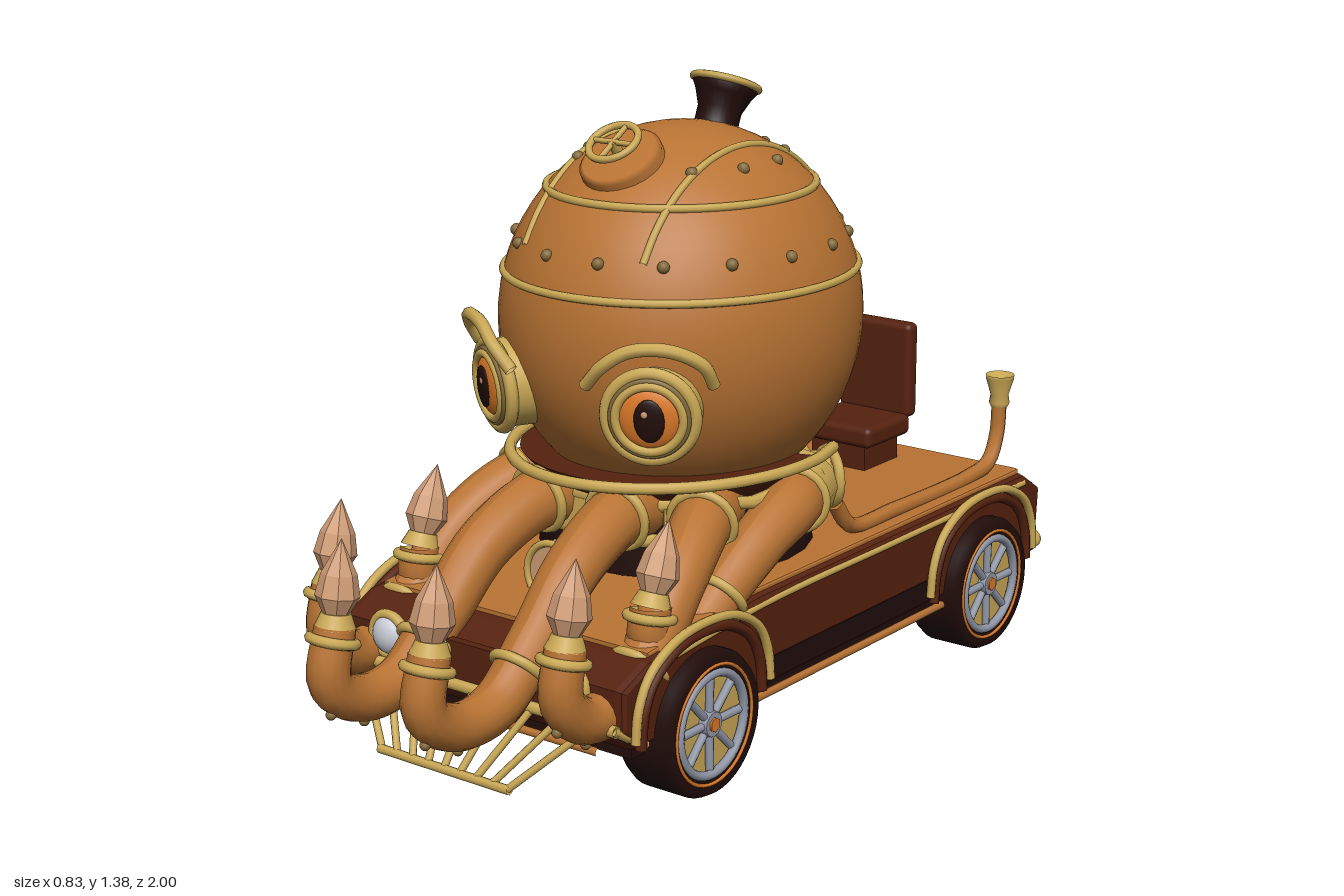
import * as THREE from 'three';
import { RoundedBoxGeometry } from 'three/addons/geometries/RoundedBoxGeometry.js';

const V = (x, y, z) => new THREE.Vector3(x, y, z);
const material = (name, color, side = THREE.FrontSide) => Object.assign(new THREE.MeshStandardMaterial({ color, side }), { name });
const PI = Math.PI;

export function createModel() {
  const copper = material('copper', 0xb87333), brass = material('brass', 0xcaa855, THREE.DoubleSide);
  const brown = material('dark brown', 0x56220f), dark = material('black brown', 0x210d0a, THREE.DoubleSide);
  const orange = material('orange glow', 0xdd7a28), peach = material('pale copper', 0xcf9c76);
  const steel = material('steel', 0x9298a8), lamp = material('lamp glass', 0xc9ccd6);
  const bronze = material('bronze', 0x82693a);
  peach.flatShading = true;

  const model = new THREE.Group();
  const group = (name, parent = model) => {
    const g = new THREE.Group();
    g.name = name;
    parent.add(g);
    return g;
  };
  const add = (parent, name, geo, mat, pos = [0, 0, 0], rot = [0, 0, 0]) => {
    const m = new THREE.Mesh(geo, mat);
    m.name = name;
    m.position.set(...pos);
    m.rotation.set(...rot);
    parent.add(m);
    return m;
  };
  const pipe = (parent, name, pts, r, mat, closed = false, seg = 40) => {
    const curve = new THREE.CatmullRomCurve3(pts.map(p => V(...p)), closed);
    return add(parent, name, new THREE.TubeGeometry(curve, seg, r, 8, closed), mat);
  };
  const bar = (parent, name, a, b, r, mat) =>
    add(parent, name, new THREE.TubeGeometry(new THREE.LineCurve3(V(...a), V(...b)), 1, r, 8), mat);
  const cyl = (r1, r2, h, n = 32) => new THREE.CylinderGeometry(r1, r2, h, n);
  const ball = r => new THREE.SphereGeometry(r, 16, 10);
  const lathe = (pts, n = 28) => new THREE.LatheGeometry(pts.map(p => new THREE.Vector2(...p)), n);

  // Car body: side profiles extruded across the width, hood sloping to the front
  const car = group('car');
  const slab = (pts, width, bevel) => {
    const shape = new THREE.Shape(pts.map(p => new THREE.Vector2(...p)));
    const g = new THREE.ExtrudeGeometry(shape, { depth: width - 2 * bevel, bevelSize: bevel * 0.6, bevelThickness: bevel, bevelSegments: 2 });
    return g.rotateY(-PI / 2).translate(width / 2 - bevel, 0, 0);
  };
  add(car, 'body', slab([[0.61, 0.17], [0.645, 0.21], [0.645, 0.285], [0.57, 0.318], [0.2, 0.35], [-0.86, 0.352], [-0.925, 0.31], [-0.915, 0.17]], 0.75, 0.02), brown);
  add(car, 'underside', new THREE.BoxGeometry(0.7, 0.04, 1.5), dark, [0, 0.15, -0.15]);
  add(car, 'deck', slab([[0.55, 0.322], [0.55, 0.336], [0.2, 0.368], [-0.86, 0.37], [-0.86, 0.355], [0.2, 0.355]].reverse(), 0.71, 0.008), copper);
  add(car, 'frontGrille', new THREE.BoxGeometry(0.18, 0.085, 0.02), brown, [0, 0.265, 0.66]);
  for (const s of [-1, 1]) {
    add(car, 'sidePanel', new THREE.BoxGeometry(0.006, 0.05, 0.64), dark, [s * 0.375, 0.195, -0.13]);
    bar(car, 'runningRail', [s * 0.37, 0.14, 0.42], [s * 0.37, 0.14, -0.62], 0.009, copper);
    pipe(car, 'sideTrim', [[s * 0.372, 0.315, 0.56], [s * 0.372, 0.342, 0.2], [s * 0.372, 0.345, -0.3], [s * 0.372, 0.345, -0.86]], 0.008, brass);
    // Horn pipes running along the deck
    pipe(car, 'hornPipe', [[s * 0.31, 0.46, -0.16], [s * 0.31, 0.395, -0.22], [s * 0.31, 0.385, -0.4], [s * 0.31, 0.385, -0.72], [s * 0.31, 0.4, -0.8], [s * 0.31, 0.46, -0.835], [s * 0.31, 0.55, -0.842]], 0.018, copper);
    add(car, 'horn', lathe([[0.019, 0], [0.024, 0.01], [0.021, 0.03], [0.033, 0.07], [0.033, 0.078], [0, 0.06]]), brass, [s * 0.31, 0.525, -0.842]);
    // Lamps
    add(car, 'headlightRim', new THREE.TorusGeometry(0.044, 0.011, 8, 28), brass, [s * 0.24, 0.276, 0.66]);
    add(car, 'headlight', ball(0.042), lamp, [s * 0.24, 0.276, 0.658]).scale.z = 0.7;
    add(car, 'tailLampRim', new THREE.TorusGeometry(0.034, 0.008, 8, 24), brass, [s * 0.25, 0.265, -0.94]);
    add(car, 'tailLamp', ball(0.033), orange, [s * 0.25, 0.265, -0.932]).scale.z = 0.5;
  }
  bar(car, 'rearTrim', [-0.35, 0.318, -0.936], [0.35, 0.318, -0.936], 0.006, brass);
  pipe(car, 'rearBumper', [[-0.38, 0.185, -0.88], [-0.37, 0.185, -0.935], [-0.31, 0.185, -0.98], [0, 0.185, -0.988], [0.31, 0.185, -0.98], [0.37, 0.185, -0.935], [0.38, 0.185, -0.88]], 0.012, brass);
  for (const s of [-1, 1]) bar(car, 'bumperPost', [s * 0.2, 0.185, -0.98], [s * 0.2, 0.2, -0.9], 0.008, brass);

  // Wheels and fender arches
  for (const s of [-1, 1]) for (const z of [0.405, -0.665]) {
    const w = group('wheel', car);
    w.position.set(s * 0.345, 0.155, z);
    w.rotation.y = s * PI / 2;
    add(w, 'tire', lathe([[0.11, -0.06], [0.145, -0.068], [0.155, -0.05], [0.155, 0.05], [0.145, 0.068], [0.11, 0.06]], 40).rotateX(PI / 2), dark);
    add(w, 'tireLine', new THREE.TorusGeometry(0.126, 0.004, 6, 40), orange, [0, 0, 0.064]);
    add(w, 'rim', new THREE.TorusGeometry(0.108, 0.01, 8, 40), steel, [0, 0, 0.058]);
    add(w, 'disc', cyl(0.112, 0.112, 0.09).rotateX(PI / 2), brass);
    for (let i = 0; i < 8; i++) {
      const a = i * PI / 4;
      bar(w, 'spoke', [0, 0, 0.05], [Math.cos(a) * 0.108, Math.sin(a) * 0.108, 0.052], 0.009, steel);
    }
    add(w, 'hub', cyl(0.026, 0.03, 0.02, 20).rotateX(PI / 2), steel, [0, 0, 0.053]);
    add(w, 'hubCap', cyl(0.016, 0.016, 0.01, 6).rotateX(PI / 2), orange, [0, 0, 0.062]);
    const arch = [[-0.225, 0.18], [-0.215, 0.25], [-0.18, 0.31], [-0.1, 0.355], [0, 0.368], [0.1, 0.355], [0.18, 0.31], [0.215, 0.25], [0.225, 0.18]];
    pipe(car, 'fenderArch', arch.map(p => [s * 0.385, p[1], z + p[0]]), 0.01, brass);
    pipe(car, 'fenderEdge', arch.map(p => [s * 0.38, p[1] - 0.02, z + p[0] * 0.9]), 0.012, brown);
  }

  // Cow catcher
  const guard = group('cowCatcher');
  bar(guard, 'topBar', [-0.37, 0.215, 0.67], [0.37, 0.215, 0.67], 0.013, brass);
  bar(guard, 'bottomBar', [-0.175, 0.075, 0.765], [0.175, 0.075, 0.765], 0.01, brass);
  for (let i = -4; i <= 4; i++) bar(guard, 'slat', [i * 0.078, 0.215, 0.67], [i * 0.042, 0.075, 0.765], 0.008, brass);
  for (const s of [-1, 1]) bar(guard, 'bracket', [s * 0.36, 0.215, 0.67], [s * 0.37, 0.16, 0.58], 0.01, brass);
  bar(guard, 'copperBar', [-0.29, 0.14, 0.63], [0.29, 0.14, 0.63], 0.009, copper);

  // Driver seat and steering wheel
  const seat = group('seat');
  add(seat, 'seatBase', new THREE.BoxGeometry(0.15, 0.07, 0.14), brown, [0, 0.405, -0.7]);
  add(seat, 'cushion', new RoundedBoxGeometry(0.2, 0.05, 0.18, 3, 0.015), brown, [0, 0.458, -0.7]);
  add(seat, 'backrest', new RoundedBoxGeometry(0.2, 0.23, 0.042, 3, 0.015), brown, [0, 0.587, -0.797]);
  const steer = group('steering');
  bar(steer, 'column', [0, 0.46, -0.36], [0, 0.643, -0.485], 0.012, dark);
  add(steer, 'steeringWheel', new THREE.TorusGeometry(0.06, 0.009, 8, 32), dark, [0, 0.643, -0.487]);
  for (let i = 0; i < 2; i++) add(steer, 'spoke', cyl(0.006, 0.006, 0.12, 8), dark, [0, 0.643, -0.487], [0, 0, i * PI / 2]);
  add(steer, 'steeringHub', ball(0.016), brass, [0, 0.643, -0.487]);

  // Dome
  const head = group('head');
  const C = V(0, 0.87, -0.02), R = V(0.38, 0.41, 0.412);
  const onDome = (y, a) => {
    const k = Math.sqrt(1 - ((y - C.y) / R.y) ** 2);
    return [R.x * k * Math.sin(a), y, C.z + R.z * k * Math.cos(a)];
  };
  add(head, 'dome', new THREE.SphereGeometry(1, 56, 36), copper, C.toArray()).scale.copy(R);
  for (const y of [0.975, 1.15]) {
    const pts = Array.from({ length: 24 }, (_, i) => onDome(y, i * PI / 12));
    pipe(head, 'domeBand', pts, 0.009, brass, true, 72);
  }
  for (const s of [-1, 1]) {
    const k = Math.sqrt(1 - (0.155 / R.x) ** 2);
    const pts = Array.from({ length: 14 }, (_, i) => {
      const a = 0.5 + i * 2.48 / 13;
      return [s * 0.155, C.y + R.y * k * Math.sin(a), C.z + R.z * k * Math.cos(a)];
    });
    pipe(head, 'domeRib', pts, 0.008, brass);
  }
  for (const [y, n] of [[1.045, 16], [1.21, 12]])
    for (let i = 0; i < n; i++) add(head, 'rivet', ball(0.013), bronze, onDome(y, (i + 0.5) * 2 * PI / n));

  // Hatch with hand wheel
  const hatch = group('hatch', head);
  hatch.position.set(0, 1.22, 0.18);
  hatch.rotation.x = 0.57;
  add(hatch, 'hatchLid', lathe([[0.09, -0.04], [0.09, 0.014], [0.08, 0.022], [0, 0.022]]), copper);
  add(hatch, 'stem', cyl(0.012, 0.012, 0.045, 12), brass, [0, 0.037, 0]);
  add(hatch, 'handWheel', new THREE.TorusGeometry(0.054, 0.008, 8, 32), brass, [0, 0.056, 0], [PI / 2, 0, 0]);
  for (let i = 0; i < 2; i++) add(hatch, 'wheelSpoke', cyl(0.006, 0.006, 0.106, 8), brass, [0, 0.056, 0], [PI / 2, 0, i * PI / 2]);

  // Chimney leaning backwards
  const chimney = group('chimney', head);
  chimney.position.set(0, 1.24, -0.135);
  chimney.rotation.x = -0.39;
  add(chimney, 'funnel', lathe([[0.06, -0.03], [0.048, 0.02], [0.048, 0.05], [0.062, 0.085], [0.077, 0.11], [0.062, 0.11], [0.055, 0.09]]), dark);
  add(chimney, 'funnelRim', new THREE.TorusGeometry(0.072, 0.008, 8, 36), brass, [0, 0.11, 0], [PI / 2, 0, 0]);
  add(chimney, 'glow', cyl(0.057, 0.055, 0.01), orange, [0, 0.092, 0]);

  // Eyes with brows
  for (const s of [-1, 1]) {
    const eye = group('eye', head);
    eye.position.set(s * 0.197, 0.753, 0.335);
    eye.rotation.set(0.1, s * 0.48, 0);
    add(eye, 'housing', cyl(0.092, 0.1, 0.1).rotateX(PI / 2), brass, [0, 0, -0.02]);
    add(eye, 'outerRing', new THREE.TorusGeometry(0.092, 0.014, 10, 40), brass, [0, 0, 0.02]);
    add(eye, 'groove', new THREE.TorusGeometry(0.08, 0.006, 8, 40), bronze, [0, 0, 0.033]);
    add(eye, 'innerRing', new THREE.TorusGeometry(0.07, 0.01, 10, 40), brass, [0, 0, 0.035]);
    add(eye, 'iris', ball(0.066), orange, [0, 0, 0.03]).scale.z = 0.3;
    add(eye, 'pupil', ball(0.032), dark, [s * 0.002, 0, 0.047]).scale.set(1, 1.45, 0.25);
    add(eye, 'glint', ball(0.007), peach, [s * -0.006, 0.016, 0.054]).scale.z = 0.4;
    pipe(eye, 'brow', [[0.13, 0.06, 0], [0.115, 0.11, 0.025], [0.05, 0.148, 0.045], [-0.03, 0.148, 0.05], [-0.085, 0.118, 0.05], [-0.128, 0.07, 0.03]].map(p => [s * p[0], p[1], p[2]]), 0.014, brass);
  }

  // Collar and socket ring beneath the dome
  const collar = group('collar');
  const arc = Array.from({ length: 17 }, (_, i) => {
    const a = (i / 8 - 1) * 1.98;
    return [0.335 * Math.sin(a), 0.588, 0.39 * Math.cos(a)];
  });
  pipe(collar, 'frontCollar', arc, 0.013, brass, false, 60);
  add(collar, 'hub', cyl(0.29, 0.3, 0.16, 24), dark, [0, 0.45, 0]);
  add(collar, 'skirt', new THREE.CylinderGeometry(0.325, 0.27, 0.06, 32, 1, false, -1.9, 3.8), brown, [0, 0.555, 0.02]);
  for (const y of [0.455, 0.53]) add(collar, 'octagonBand', new THREE.TorusGeometry(0.318, 0.014, 6, 8), brass, [0, y, 0], [PI / 2, 0, PI / 8]);
  for (let i = 0; i < 8; i++) {
    const a = i * PI / 4;
    add(collar, 'socketPlate', new THREE.BoxGeometry(0.13, 0.065, 0.02), brass, [0.295 * Math.sin(a), 0.492, 0.295 * Math.cos(a)], [0, a, 0]);
  }
  for (const s of [-1, 1]) {
    const stub = group('rearSocket', collar);
    stub.position.set(s * 0.19, 0.475, -0.24);
    stub.rotation.y = PI - s * 0.55;
    add(stub, 'socketSleeve', cyl(0.058, 0.085, 0.2, 12).rotateX(PI / 2), brass, [0, 0, -0.06]);
    add(stub, 'socketRim', new THREE.TorusGeometry(0.06, 0.012, 8, 28), brass, [0, 0, 0.045]);
    add(stub, 'socketCap', cyl(0.058, 0.058, 0.02).rotateX(PI / 2), copper, [0, 0, 0.042]);
    // Side sockets feeding the rear-most arms
    add(collar, 'sideSocket', cyl(0.072, 0.085, 0.14, 12), brass, [s * 0.255, 0.485, -0.09], [PI / 2, 0, s * -0.5]);
  }

  // Pressure gauge
  const gauge = group('gauge');
  gauge.position.set(0, 0.39, 0.4);
  add(gauge, 'gaugeFace', cyl(0.068, 0.068, 0.04).rotateX(PI / 2), peach);
  add(gauge, 'gaugeRim', new THREE.TorusGeometry(0.068, 0.008, 8, 36), brass, [0, 0, 0.02]);
  add(gauge, 'needle', new THREE.BoxGeometry(0.01, 0.06, 0.006), dark, [0.014, 0.014, 0.024], [0, 0, -0.7]);
  add(gauge, 'needlePin', ball(0.01), dark, [0, -0.003, 0.024]);

  // Tentacles: tapered tubes with cuffs and a spear tip leaning back; last value is the lean
  const arms = [
    [[[0.09, 0.51, 0.2], [0.105, 0.515, 0.34], [0.12, 0.45, 0.5], [0.125, 0.33, 0.63], [0.125, 0.235, 0.75], [0.125, 0.23, 0.87], [0.125, 0.29, 0.95], [0.125, 0.4, 0.93]], -0.15],
    [[[0.2, 0.51, 0.12], [0.25, 0.505, 0.24], [0.295, 0.43, 0.38], [0.31, 0.32, 0.49], [0.31, 0.24, 0.6], [0.31, 0.235, 0.7], [0.31, 0.3, 0.765], [0.31, 0.4, 0.75]], -0.2],
    [[[0.24, 0.49, -0.1], [0.31, 0.5, 0], [0.32, 0.46, 0.12], [0.315, 0.38, 0.25], [0.31, 0.31, 0.35], [0.31, 0.3, 0.43], [0.31, 0.34, 0.49], [0.31, 0.41, 0.485]], -0.35],
  ];
  for (const s of [-1, 1]) for (const [path, lean] of arms) {
    const t = group('tentacle');
    const curve = new THREE.CatmullRomCurve3(path.map(p => V(s * p[0], p[1], p[2])));
    const seg = 48, geo = new THREE.TubeGeometry(curve, seg, 1, 16), pos = geo.attributes.position;
    const radius = u => 0.068 - 0.026 * u;
    for (let i = 0; i < pos.count; i++) {
      const u = Math.floor(i / 17) / seg, c = curve.getPointAt(u);
      const v = V(0, 0, 0).fromBufferAttribute(pos, i).sub(c).multiplyScalar(radius(u)).add(c);
      pos.setXYZ(i, v.x, v.y, v.z);
    }
    geo.computeVertexNormals();
    add(t, 'arm', geo, copper);
    for (const u of [0.14, 0.56, 0.97]) {
      const cuff = add(t, 'cuff', new THREE.TorusGeometry(radius(u) + 0.003, 0.011, 8, 28), brass, curve.getPointAt(u).toArray());
      cuff.quaternion.setFromUnitVectors(V(0, 0, 1), curve.getTangentAt(u));
    }
    const tip = group('tip', t), end = path[7];
    tip.position.set(s * end[0], end[1], end[2]);
    tip.rotation.x = lean;
    add(tip, 'tipCollar', cyl(0.03, 0.042, 0.03, 20), brass, [0, 0.012, 0]);
    add(tip, 'spearTip', lathe([[0.024, 0], [0.045, 0.04], [0.036, 0.085], [0, 0.155]], 8), peach, [0, 0.02, 0]);
    for (const u of [0.76, 0.84]) {
      const c = curve.getPointAt(u), d = curve.getTangentAt(u);
      add(t, 'bead', ball(0.011), bronze, [c.x, c.y - d.z * radius(u), c.z + d.y * radius(u)]);
    }
  }
  return model;
}
